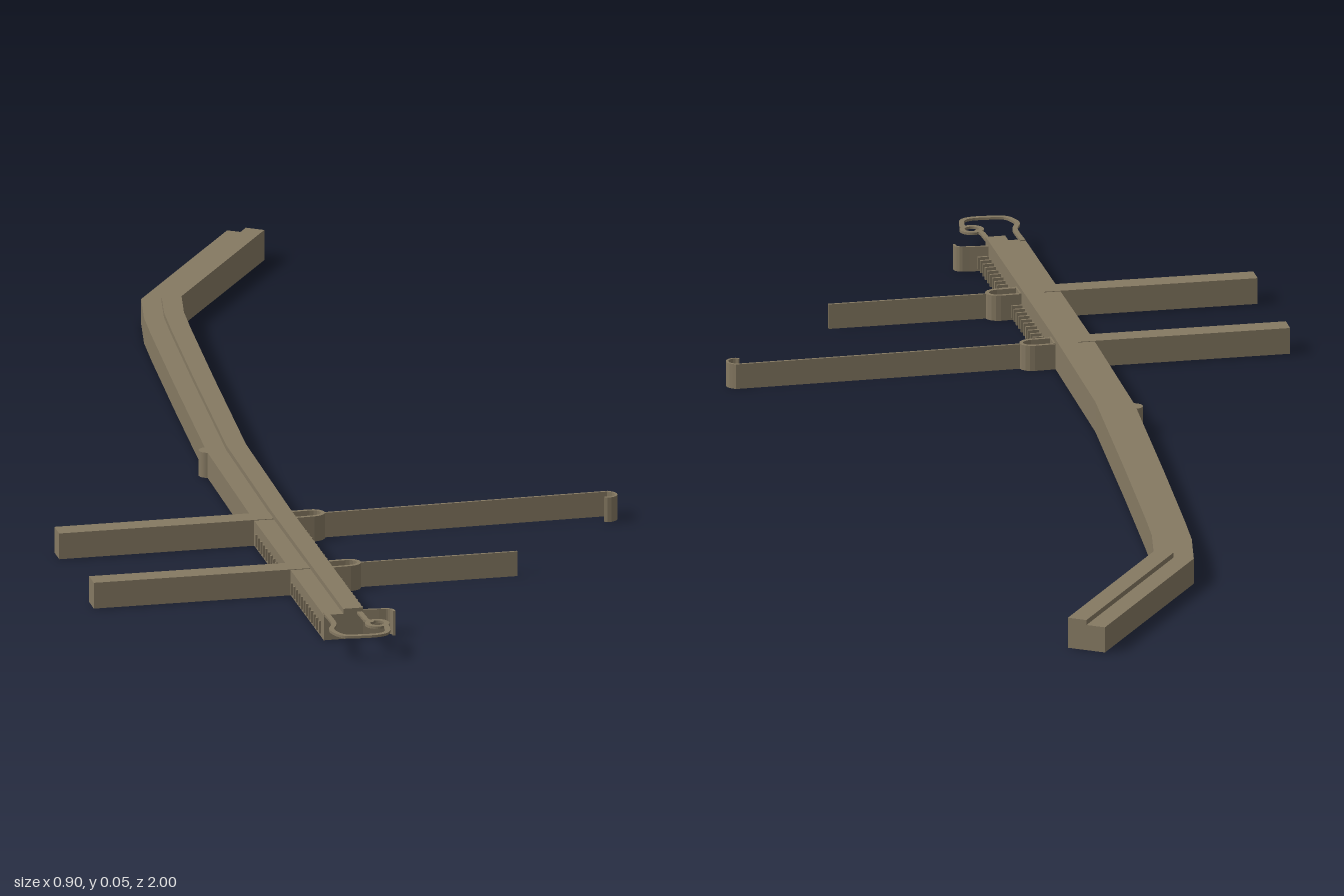
import * as THREE from 'three';

// Offsets a plan polyline [x, z] sideways with mitred corners (positive = right of travel)
function offsetPath(pts, d) {
  return pts.map((p, i) => {
    const a = pts[Math.max(i - 1, 0)], b = pts[Math.min(i + 1, pts.length - 1)];
    const dir = (s, e) => new THREE.Vector2(e[0] - s[0], e[1] - s[1]).normalize();
    const d1 = i > 0 ? dir(a, p) : dir(p, b);
    const d2 = i < pts.length - 1 ? dir(p, b) : d1;
    const n1 = new THREE.Vector2(-d1.y, d1.x), n2 = new THREE.Vector2(-d2.y, d2.x);
    const m = n1.clone().add(n2).normalize();
    const k = d / Math.max(m.dot(n1), 0.5);
    return [p[0] + m.x * k, p[1] + m.y * k];
  });
}

// Upright wall or beam following a plan path, between two side offsets and two heights
function wall(pts, left, right, y0, y1) {
  const outline = [...offsetPath(pts, left), ...offsetPath(pts, right).reverse()];
  const shape = new THREE.Shape(outline.map(([x, z]) => new THREE.Vector2(x, -z)));
  const geo = new THREE.ExtrudeGeometry(shape, { depth: y1 - y0, bevelEnabled: false });
  return geo.rotateX(-Math.PI / 2).translate(0, y0, 0);
}

// Points on an arc in plan, angles in degrees from +x towards +z
function arc(cx, cz, rx, rz, from, to, n = 8) {
  return Array.from({ length: n + 1 }, (_, i) => {
    const a = THREE.MathUtils.degToRad(from + (to - from) * i / n);
    return [cx + rx * Math.cos(a), cz + rz * Math.sin(a)];
  });
}

export function createModel() {
  const model = new THREE.Group();
  model.name = 'bentBeamWithArms';
  const metal = new THREE.MeshStandardMaterial({ color: 0x857962 });
  metal.name = 'dull bronze';
  const add = (name, geo, parent = model) => {
    const mesh = new THREE.Mesh(geo, metal);
    mesh.name = name;
    parent.add(mesh);
    return mesh;
  };

  // Long beam: lower left half and slightly raised right half
  const spine = [[-0.115, 0.88], [-0.1, 0.38], [-0.085, 0.05], [-0.05, -0.28],
    [-0.022, -0.53], [-0.012, -0.61], [0.006, -0.695], [0.217, -0.985]];
  add('beamLeftHalf', wall(spine, -0.031, 0, 0, 0.041));
  add('beamRightHalf', wall(spine, 0, 0.031, 0, 0.049));

  // Row of fine teeth along the front stretch
  const teeth = new THREE.Group();
  teeth.name = 'teeth';
  model.add(teeth);
  for (let z = 0.42; z < 0.87; z += 0.0175) {
    if (Math.abs(z - 0.635) < 0.018) continue;
    const x = -0.1 - 0.03 * (z - 0.38);
    const tooth = add('tooth', new THREE.BoxGeometry(0.083, 0.02, 0.004), teeth);
    tooth.position.set(x + 0.007, 0.015, z);
  }

  // Cross arms: solid bar on one side, loop and thin strip on the other
  const arms = [
    { name: 'rearArm', x0: -0.44, z0: 0.37, x1: -0.066, z1: 0.384, tip: 0.435, hook: true },
    { name: 'frontArm', x0: -0.45, z0: 0.62, x1: -0.074, z1: 0.636, tip: 0.225, hook: false },
  ];
  for (const { name, x0, z0, x1, z1, tip, hook } of arms) {
    const arm = new THREE.Group();
    arm.name = name;
    model.add(arm);
    add('bar', wall([[x0, z0], [x1, z1]], -0.017, 0.017, 0, 0.042), arm);
    const loop = [[x1 - 0.01, z1 - 0.015], ...arc(x1 + 0.03, z1, 0.018, 0.015, -90, 90), [x1 - 0.01, z1 + 0.015]];
    add('loop', wall(loop, -0.003, 0.003, 0, 0.041), arm);
    const end = z1 + 0.009;
    const strip = [[x1 + 0.047, z1], [tip, end]];
    if (hook) strip.push(...arc(tip - 0.003, end + 0.015, 0.013, 0.014, -60, 130));
    add('strip', wall(strip, -0.002, 0.002, 0, 0.04), arm);
  }

  // Small peg on the side of the beam
  add('sidePeg', new THREE.CylinderGeometry(0.014, 0.014, 0.041, 16)).position.set(-0.113, 0.0205, 0.042);

  // Upright curl near the front end
  const curl = [[-0.09, 0.862], [-0.055, 0.867], ...arc(-0.046, 0.88, 0.012, 0.012, -80, 20, 5)];
  add('frontCurl', wall(curl, -0.002, 0.002, 0, 0.04));

  // Flat wire clasp with an eye at the very front
  const clasp = [[-0.141, 0.87], [-0.142, 0.925], [-0.153, 0.955], [-0.146, 0.983],
    [-0.13, 0.992], [-0.09, 0.996], [-0.072, 0.985], [-0.066, 0.955]];
  const smooth = new THREE.SplineCurve(clasp.map(([x, z]) => new THREE.Vector2(x, z)))
    .getPoints(36).map(p => [p.x, p.y]);
  add('clasp', wall(smooth, -0.004, 0.004, 0.039, 0.043));
  add('claspStem', wall([[-0.089, 0.87], [-0.089, 0.92], [-0.083, 0.936]], -0.004, 0.004, 0.039, 0.043));
  const eye = new THREE.Shape().absarc(0, 0, 0.019, 0, Math.PI * 2);
  eye.holes.push(new THREE.Path().absarc(0, 0, 0.011, 0, Math.PI * 2, true));
  const eyeGeo = new THREE.ExtrudeGeometry(eye, { depth: 0.004, bevelEnabled: false, curveSegments: 16 });
  add('claspEye', eyeGeo.rotateX(-Math.PI / 2)).position.set(-0.077, 0.039, 0.942);

  return model;
}
